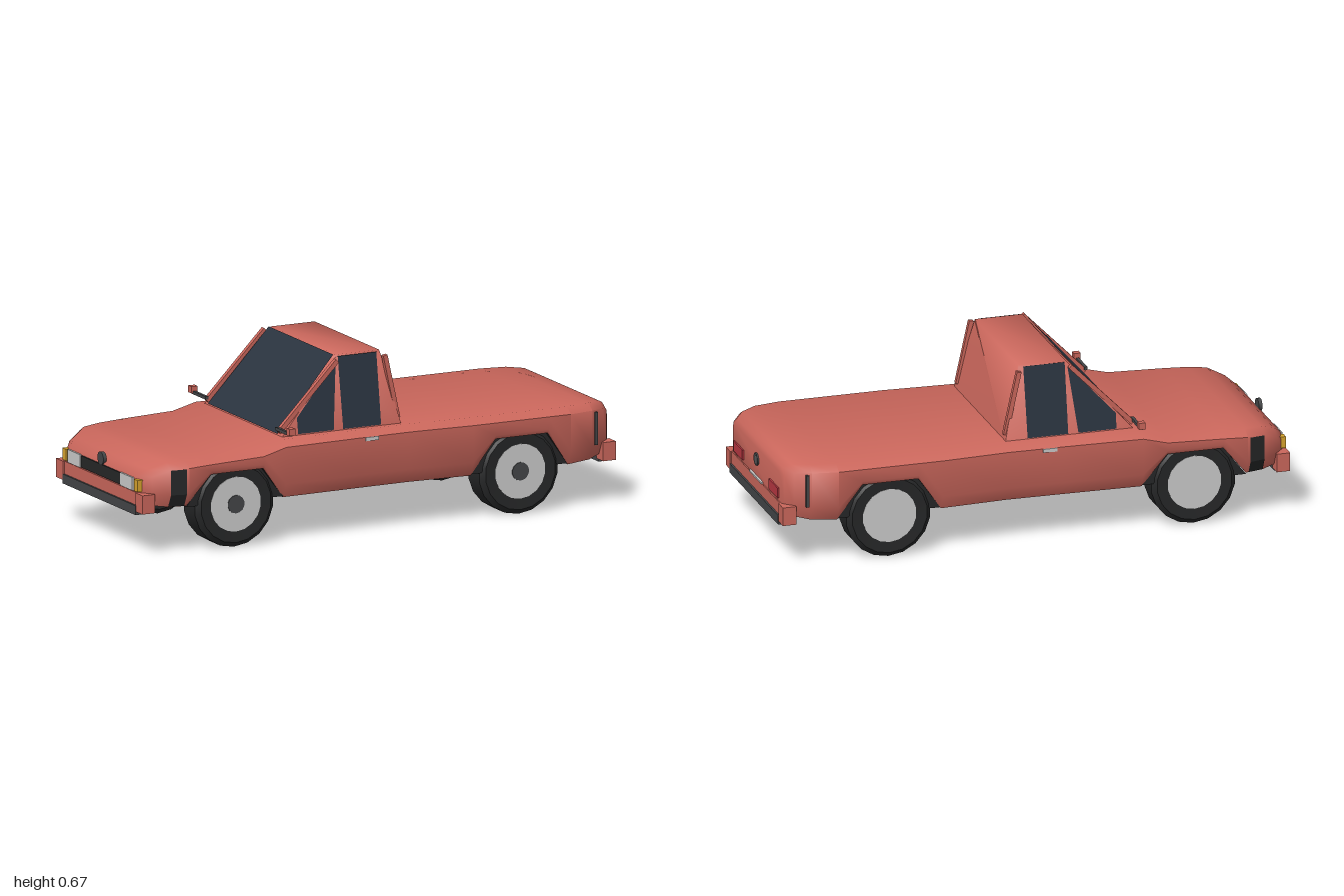
import * as THREE from 'three';
import { toCreasedNormals } from 'three/addons/utils/BufferGeometryUtils.js';

const RED = 0xcb675c, DARK = 0x262728, TRIM = 0x444648, GLASS = 0x2a3440, LIGHT = 0xe8e8e8;

function mesh(name, geometry, color, side = THREE.FrontSide) {
  const m = new THREE.Mesh(geometry, new THREE.MeshStandardMaterial({ color, side }));
  m.name = name;
  return m;
}

function box(name, color, w, h, d, x, y, z) {
  const m = mesh(name, new THREE.BoxGeometry(w, h, d), color);
  m.position.set(x, y, z);
  return m;
}

// Square bar between two points
function bar(name, color, a, b, t) {
  const p = new THREE.Vector3(...a), q = new THREE.Vector3(...b);
  const m = mesh(name, new THREE.BoxGeometry(t, t, p.distanceTo(q)), color);
  m.position.copy(p).add(q).multiplyScalar(0.5);
  m.lookAt(q);
  return m;
}

// Skin over a row of open cross-sections, with optional flat ends
function loft(rings, caps, crease) {
  const pos = [];
  const tri = (...pts) => pts.forEach(p => pos.push(...p));
  for (let j = 0; j < rings.length - 1; j++) {
    const r = rings[j], s = rings[j + 1];
    for (let i = 0; i < r.length - 1; i++) {
      tri(r[i], r[i + 1], s[i + 1]);
      tri(r[i], s[i + 1], s[i]);
    }
  }
  if (caps) {
    const f = rings[0], e = rings[rings.length - 1];
    for (let i = 1; i < f.length - 1; i++) {
      tri(f[0], f[i + 1], f[i]);
      tri(e[0], e[i], e[i + 1]);
    }
  }
  const g = new THREE.BufferGeometry();
  g.setAttribute('position', new THREE.Float32BufferAttribute(pos, 3));
  return toCreasedNormals(g, crease);
}

// Thin flat four-cornered panel
function panel(name, color, [a, b, c, d]) {
  return mesh(name, loft([[a, b], [d, c]], false, 0.3), color, THREE.DoubleSide);
}

// Mirror half a section (z, y) across the centre line
function section(x, half) {
  const left = half.map(([z, y, px = x]) => [px, y, z]);
  return [...left.map(([px, y, z]) => [px, y, -z]), ...left.reverse()];
}

function wheel(x, z) {
  const g = new THREE.Group();
  g.name = 'wheel';
  const profile = [[0.1, -0.06], [0.148, -0.063], [0.167, -0.045], [0.167, 0.045], [0.148, 0.063], [0.1, 0.06]];
  const tyre = new THREE.LatheGeometry(profile.map(p => new THREE.Vector2(...p)), 18);
  g.add(mesh('tyre', toCreasedNormals(tyre, 0.5), DARK, THREE.DoubleSide));
  g.add(mesh('rim', new THREE.CylinderGeometry(0.106, 0.106, 0.123, 18), LIGHT));
  const hub = mesh('hub', new THREE.CylinderGeometry(0.035, 0.035, 0.01, 14), TRIM);
  hub.position.y = 0.06;
  g.add(hub);
  g.rotation.x = Math.PI / 2;
  g.position.set(x, 0.167, z);
  return g;
}

export function createModel() {
  const car = new THREE.Group();
  car.name = 'pickup';

  // Body shell: x, half width, top, waist of the tucked-in sill, lower edge
  const stations = [
    [-0.988, 0.295, 0.292, 0.235, 0.195], [-0.95, 0.34, 0.322, 0.23, 0.185], [-0.89, 0.374, 0.348, 0.23, 0.18],
    [-0.82, 0.391, 0.352, 0.23, 0.18], [-0.725, 0.392, 0.357, 0.31, 0.295], [-0.505, 0.392, 0.365, 0.31, 0.295],
    [-0.41, 0.39, 0.39, 0.225, 0.17], [-0.1, 0.382, 0.391, 0.225, 0.17], [0.12, 0.378, 0.391, 0.225, 0.17],
    [0.38, 0.392, 0.391, 0.225, 0.17], [0.475, 0.392, 0.391, 0.32, 0.305], [0.695, 0.392, 0.391, 0.32, 0.305],
    [0.79, 0.392, 0.391, 0.225, 0.17], [0.89, 0.374, 0.391, 0.23, 0.175], [0.95, 0.34, 0.387, 0.235, 0.185],
    [0.98, 0.312, 0.372, 0.235, 0.195], [0.988, 0.30, 0.352, 0.235, 0.2],
  ];
  const tuck = (w, waist, low) => w - 0.5 * (waist - low);
  const shell = stations.map(([x, w, top, waist, low]) => section(x,
    [[tuck(w, waist, low), low], [w, waist], [w, top - 0.023], [w - 0.036, top]]));
  car.add(mesh('body', loft(shell, true, 1.0), RED));
  const floor = stations.map(([x, w, , waist, low]) => {
    const z = tuck(w, waist, low);
    return [[x, low, z], [x, low, -z]];
  });
  car.add(mesh('underbody', loft(floor, false, 0.4), DARK, THREE.DoubleSide));

  // Cab
  const cabEnd = (low, top) => section(0,
    [[0.32, 0.38, low], [0.272, 0.664, top], [0.264, 0.67, top]]);
  car.add(mesh('cab', loft([cabEnd(-0.40, -0.14), cabEnd(0.113, 0.045)], true, 1.4), RED));
  car.add(panel('windscreen', GLASS, [
    [-0.394, 0.396, 0.285], [-0.394, 0.396, -0.285], [-0.148, 0.671, -0.264], [-0.148, 0.671, 0.264]]));

  for (const s of [-1, 1]) {
    // Side windows lie just outside the sloping cab wall
    const onSide = ([x, y]) => [x, y, s * (0.324 - (y - 0.38) * 0.168)];
    car.add(panel('quarterWindow', GLASS,
      [[-0.325, 0.395], [-0.175, 0.395], [-0.145, 0.65], [-0.325, 0.455]].map(onSide)));
    car.add(panel('doorWindow', GLASS,
      [[-0.135, 0.395], [0.025, 0.395], [0.028, 0.666], [-0.135, 0.666]].map(onSide)));

    // Pillars
    car.add(bar('frontPillar', RED, [-0.395, 0.405, s * 0.295], [-0.15, 0.655, s * 0.295], 0.018));
    car.add(bar('rearPillar', RED, [0.106, 0.41, s * 0.295], [0.052, 0.655, s * 0.295], 0.018));

    // Mirrors and door handles
    car.add(box('mirrorArm', TRIM, 0.012, 0.012, 0.12, -0.397, 0.417, s * 0.345));
    car.add(box('mirror', RED, 0.026, 0.026, 0.026, -0.397, 0.428, s * 0.402));
    car.add(box('doorHandle', LIGHT, 0.055, 0.014, 0.012, -0.045, 0.361, s * 0.38));

    // Corner panels hug the rounded nose and follow the sill tuck
    const slope = (x, y) => [x, y, s * (0.377 + (x + 0.89) * 0.243 - Math.max(0, 0.23 - y) * 0.5)];
    car.add(panel('frontCornerTrim', DARK,
      [[-0.89, 0.23], [-0.83, 0.23], [-0.83, 0.327], [-0.89, 0.325]].map(p => slope(...p))));
    car.add(panel('frontCornerTrimLower', DARK,
      [[-0.89, 0.182], [-0.83, 0.182], [-0.83, 0.23], [-0.89, 0.23]].map(p => slope(...p))));
    car.add(box('rearCornerTrim', TRIM, 0.012, 0.126, 0.018, 0.906, 0.297, s * 0.366));

    // Lamps
    car.add(box('tailLamp', 0xb93842, 0.012, 0.04, 0.11, 0.988, 0.266, s * 0.219));
    car.add(box('headlamp', LIGHT, 0.018, 0.05, 0.10, -0.987, 0.262, s * 0.215));
    car.add(box('indicator', 0xd9a52e, 0.026, 0.045, 0.03, -0.983, 0.262, s * 0.293));

    // Dark lips framing the wheel arches
    for (const [x, top] of [[-0.615, 0.297], [0.585, 0.307]]) {
      const half = [[0.205, 0.175], [0.11, top], [0.09, top - 0.032], [0.16, 0.175]];
      const outline = [half[0], half[1], ...[1, 0].map(i => [-half[i][0], half[i][1]]),
        ...[3, 2].map(i => [-half[i][0], half[i][1]]), half[2], half[3]];
      const lip = new THREE.Shape(outline.map(p => new THREE.Vector2(...p)));
      const g = new THREE.ExtrudeGeometry(lip, { depth: 0.06, bevelEnabled: false });
      g.translate(x, 0, s > 0 ? 0.306 : -0.366);
      car.add(mesh('archLip', g, DARK));
      car.add(wheel(x, s * 0.3125));
    }
  }

  // Bumpers with end blocks and a dark lower strip
  for (const e of [-1, 1]) {
    const bumper = new THREE.Group();
    bumper.name = e < 0 ? 'frontBumper' : 'rearBumper';
    bumper.add(box('bumperBar', RED, 0.035, 0.069, 0.62, e * 0.975, 0.2, 0));
    bumper.add(box('bumperStrip', TRIM, 0.047, 0.036, 0.60, e * 0.9765, 0.168, 0));
    for (const s of [-1, 1]) {
      bumper.add(box('bumperEnd', RED, 0.053, 0.072, 0.055, e * 0.972, 0.199, s * 0.326));
    }
    car.add(bumper);

    // Plain round cap on each end
    const disc = mesh('roundCap', new THREE.CylinderGeometry(0.025, 0.025, 0.014, 16), TRIM);
    disc.rotation.z = Math.PI / 2;
    disc.position.set(e * 0.987, 0.307, 0);
    car.add(disc);
  }
  car.add(box('capSlot', LIGHT, 0.004, 0.028, 0.006, 0.995, 0.307, -0.008));
  car.add(box('tailgateStrip', LIGHT, 0.016, 0.007, 0.15, 0.988, 0.237, 0));
  car.add(box('grille', DARK, 0.016, 0.045, 0.32, -0.986, 0.262, 0));

  return car;
}
